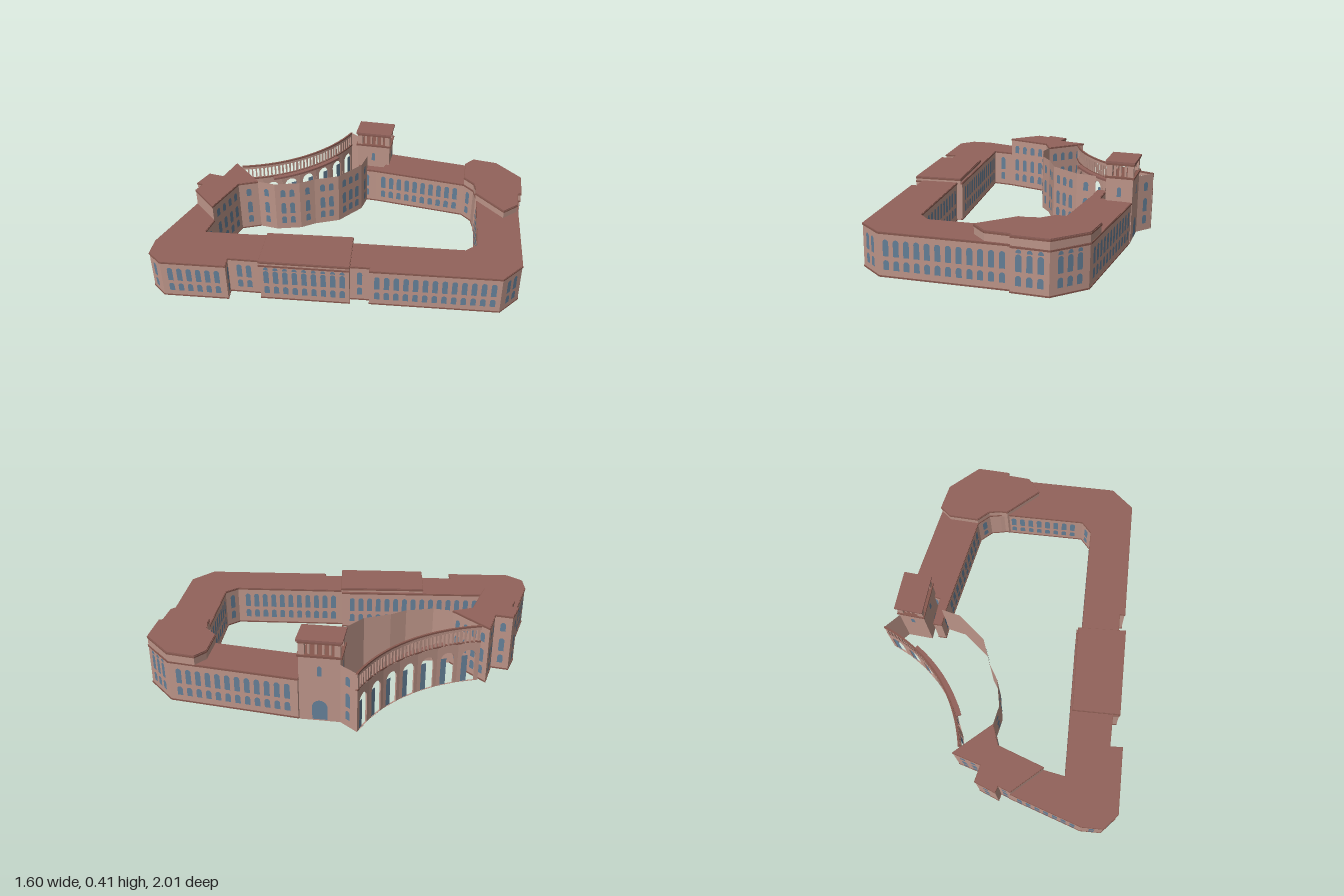
import * as THREE from 'three';
import { mergeGeometries } from 'three/addons/utils/BufferGeometryUtils.js';

const material = (name, color) => {
  const m = new THREE.MeshStandardMaterial({ color, side: THREE.DoubleSide });
  m.name = name;
  return m;
};

export function createModel() {
  const model = new THREE.Group();
  const stone = material('pink stone', 0xbc9488);
  const roofMat = material('roof', 0x92625b);
  const glass = material('window glass', 0x647f97);
  const trim = material('dark trim', 0x87594f);

  const add = (name, geos, mat, parent = model) => {
    const list = geos.map((g) => (g.index ? g.toNonIndexed() : g));
    const mesh = new THREE.Mesh(mergeGeometries(list), mat);
    mesh.name = name;
    parent.add(mesh);
  };
  const box = (w, h, d, x, y, z) => new THREE.BoxGeometry(w, h, d).translate(x, y, z);
  const span = (a, b) => Math.hypot(b[0] - a[0], b[1] - a[1]);

  // Place a geometry drawn along local x so that it runs from a to b
  const along = (geo, a, b) => geo.rotateY(Math.atan2(a[1] - b[1], b[0] - a[0])).translate(a[0], 0, a[1]);
  const sheet = (a, b, y0, y1) => {
    const L = span(a, b);
    return along(new THREE.PlaneGeometry(L, y1 - y0).translate(L / 2, (y0 + y1) / 2, 0), a, b);
  };

  // Round-headed opening outline
  const archPath = (Type, x, y, w, h) => {
    const p = new Type();
    p.moveTo(x - w / 2, y);
    p.lineTo(x + w / 2, y);
    p.lineTo(x + w / 2, y + h - w / 2);
    p.absarc(x, y + h - w / 2, w / 2, 0, Math.PI, false);
    p.closePath();
    return p;
  };

  // Flat slab cut to a plan outline
  const slab = (pts, y, h) => {
    const s = new THREE.Shape(pts.map(([x, z]) => new THREE.Vector2(x, -z)));
    return new THREE.ExtrudeGeometry(s, { depth: h, bevelEnabled: false }).rotateX(-Math.PI / 2).translate(0, y, 0);
  };

  // Facade run: wall sheets, string courses and rows of windows [y, height]
  const facade = (name, edges, y0, y1, rows, gap = 0.048, banded = true) => {
    const walls = [], bands = [], panes = [];
    for (const [a, b] of edges) {
      const L = span(a, b);
      walls.push(sheet(a, b, y0, y1));
      if (banded) bands.push(along(box(L + 0.004, 0.008, 0.006, L / 2, y1 - 0.004, 0), a, b));
      if (banded && y0 === 0) bands.push(along(box(L + 0.004, 0.007, 0.005, L / 2, 0.0035, 0), a, b));
      const n = L < 0.06 ? 0 : Math.max(1, Math.floor((L - 0.02) / gap));
      for (let i = 0; i < n; i++) {
        const x = L / 2 + (i - (n - 1) / 2) * gap;
        for (const [y, h] of rows) {
          const w = Math.min(0.027, h * 1.4);
          panes.push(along(new THREE.ShapeGeometry(archPath(THREE.Shape, x, y, w, h), 5).translate(0, 0, 0.003), a, b));
        }
      }
    }
    add(name + 'Walls', walls, stone);
    if (banded) add(name + 'Bands', bands, trim);
    if (panes.length) add(name + 'Windows', panes, glass);
  };
  const ring = (pts) => pts.map((p, i) => [pts[(i + 1) % pts.length], p]);

  const twoRows = [[0.036, 0.046], [0.1, 0.078]];
  const grandRows = [...twoRows, [0.183, 0.017]];
  const threeRows = [[0.038, 0.046], [0.104, 0.072], [0.215, 0.047]];

  // Long wings around the courtyard
  const wings = [
    [-0.47, -0.62], [0.03, -1], [0.23, -1], [0.35, -0.88], [0.34, -0.865], [0.78, -0.46], [0.8, -0.31],
    [0.37, 0.18], [0.35, 0.16], [0.28, 0.24], [0.31, 0.26], [0.01, 0.6], [-0.02, 0.58], [-0.13, 0.7],
    [-0.08, 0.74], [-0.3, 0.99], [-0.4, 1], [-0.48, 0.93], [-0.67, 0.6], [-0.47, 0.6], [-0.4, 0.69],
    [0.11, 0.1], [0.13, 0.12], [0.52, -0.32], [0.52, -0.4], [0.19, -0.7], [0.17, -0.71], [0.12, -0.74],
    [0.04, -0.74], [-0.38, -0.42], [-0.46, -0.35], [-0.49, -0.38], [-0.38, -0.48]];
  const grand = [1, 2, 10], joint = 18;
  facade('wing', ring(wings).filter((e, i) => !grand.includes(i) && i !== joint), 0, 0.21, twoRows);
  facade('grandFront', ring(wings).filter((e, i) => grand.includes(i)), 0, 0.21, grandRows);
  add('wingRoof', [slab(wings, 0.202, 0.01)], roofMat);

  // Raised roofs over the north corner and the middle of the south-east wing
  const north = [[-0.08, -0.92], [0.03, -1], [0.23, -1], [0.35, -0.88], [0.34, -0.865], [0.42, -0.78],
    [0.42, -0.68], [0.2, -0.68], [0.17, -0.71], [0.12, -0.74], [0.04, -0.74], [-0.07, -0.85]];
  const middle = [[0.31, 0.26], [0.01, 0.6], [-0.17, 0.44], [0.12, 0.1]];
  facade('northAttic', ring(north), 0.2, 0.255, []);
  facade('middleAttic', ring(middle), 0.2, 0.23, []);
  add('northRoof', [slab(north, 0.25, 0.01)], roofMat);
  add('middleRoof', [slab(middle, 0.225, 0.01)], roofMat);

  // Walls across the inside of the wings
  add('crossWalls', [[middle[0], middle[3]], [middle[1], middle[2]], [north[6], north[7]]]
    .map(([a, b]) => sheet(a, b, 0, 0.2)), stone);

  // Tall south-west block, with a blank gable towards the wing
  const block = [[-0.79, 0.28], [-0.55, 0.28], [-0.59, 0.38], [-0.47, 0.6], [-0.67, 0.6], [-0.7, 0.54],
    [-0.73, 0.56], [-0.78, 0.46], [-0.71, 0.41]];
  facade('westBlock', ring(block).filter((e, i) => i !== 3), 0, 0.3, threeRows, 0.055);
  facade('westGable', [[block[4], block[3]]], 0.2, 0.3, []);
  add('westBlockRoof', [slab(block, 0.292, 0.01)], roofMat);

  // Faceted courtyard wall behind the colonnade, and the end wall joining it to the tower
  const court = [[-0.55, 0.28], [-0.47, 0.22], [-0.4, 0.1], [-0.385, 0.01], [-0.334, -0.12], [-0.36, -0.3], [-0.42, -0.385]];
  facade('courtyard', court.slice(1).map((p, i) => [court[i], p]), 0, 0.3, threeRows, 0.05, false);
  facade('colonnadeEnd', [[[-0.61, -0.49], [-0.715, -0.48]]], 0, 0.3, threeRows, 0.05, false);

  // Curved colonnade
  const R = 0.788, A = 0.497;
  const at = (t, r = R) => [-1.423 + r * Math.cos(t + 0.043), -0.135 + r * Math.sin(t + 0.043)];
  const arcBand = (r0, r1, t, y, h) => {
    const pts = [], n = 24;
    for (let i = 0; i <= n; i++) pts.push(at(-t + (2 * t * i) / n, r1));
    for (let i = n; i >= 0; i--) pts.push(at(-t + (2 * t * i) / n, r0));
    return slab(pts, y, h);
  };
  const bays = 7, arcade = [], columns = [], leaves = [];
  for (let i = 0; i < bays; i++) {
    const a = at(-A + (2 * A * i) / bays), b = at(-A + (2 * A * (i + 1)) / bays);
    const L = span(a, b);
    const s = new THREE.Shape([[0, 0], [L, 0], [L, 0.215], [0, 0.215]].map((p) => new THREE.Vector2(...p)));
    s.holes.push(archPath(THREE.Path, L / 2, 0.001, L * 0.64, 0.175));
    const g = new THREE.ExtrudeGeometry(s, { depth: 0.008, bevelEnabled: false, curveSegments: 8 });
    arcade.push(along(g.translate(0, 0, -0.004), a, b));
    leaves.push(along(new THREE.PlaneGeometry(L * 0.28, 0.145).translate(L * 0.32, 0.073, 0), a, b));
    for (let k = 0; k < 5; k++) {
      const x = (L * (k + 0.5)) / 5;
      columns.push(along(box(k ? 0.008 : 0.012, 0.065, 0.008, x, 0.25, 0), a, b));
    }
  }
  add('arcade', arcade, stone);
  add('arcadeGlass', leaves, glass);
  add('galleryColumns', columns, stone);
  add('colonnadeBeam', [arcBand(R - 0.004, R + 0.004, A, 0.28, 0.016)], stone);
  add('colonnadeTrim', [arcBand(R - 0.005, R + 0.005, A, 0.212, 0.008), arcBand(R - 0.005, R + 0.005, A, 0.294, 0.008)], trim);
  add('galleryFloor', [arcBand(R, R + 0.031, 0.277, 0.205, 0.012)], roofMat);

  // Tower with an open belvedere
  const tower = new THREE.Group();
  tower.name = 'tower';
  tower.position.set(-0.5, 0, -0.505);
  tower.rotation.y = 0.75;
  model.add(tower);
  const W = 0.19, D = 0.132;
  add('towerBody', [box(W, 0.33, D, 0, 0.165, 0)], stone, tower);
  add('towerLedges', [box(W + 0.014, 0.01, D + 0.012, 0, 0.333, 0), box(W + 0.006, 0.012, D + 0.006, 0, 0.4, 0)], trim, tower);
  add('towerRoof', [box(W + 0.018, 0.01, D + 0.014, 0, 0.41, 0)], roofMat, tower);
  const posts = [];
  for (const s of [-1, 1]) {
    for (let i = 0; i <= 5; i++) {
      const w = i % 5 ? 0.011 : 0.028;
      posts.push(box(w, 0.06, w, (i / 5 - 0.5) * (W - 0.028), 0.365, s * (D / 2 - 0.014)));
    }
    for (let i = 1; i < 4; i++) posts.push(box(0.011, 0.06, 0.011, s * (W / 2 - 0.014), 0.365, (i / 4 - 0.5) * (D - 0.028)));
  }
  add('belvedereColumns', posts, stone, tower);
  const panes = [];
  for (const turn of [0, Math.PI]) {
    for (const [y, w, h] of [[0.008, 0.07, 0.1], [0.235, 0.02, 0.05]]) {
      const arch = archPath(THREE.Shape, 0, y, w, h);
      panes.push(new THREE.ShapeGeometry(arch, 8).translate(0, 0, D / 2 + 0.003).rotateY(turn));
      if (w < 0.05) panes.push(new THREE.ShapeGeometry(arch, 8).translate(0, 0, W / 2 + 0.003).rotateY(turn + Math.PI / 2));
    }
  }
  add('towerWindows', panes, glass, tower);

  return model;
}
